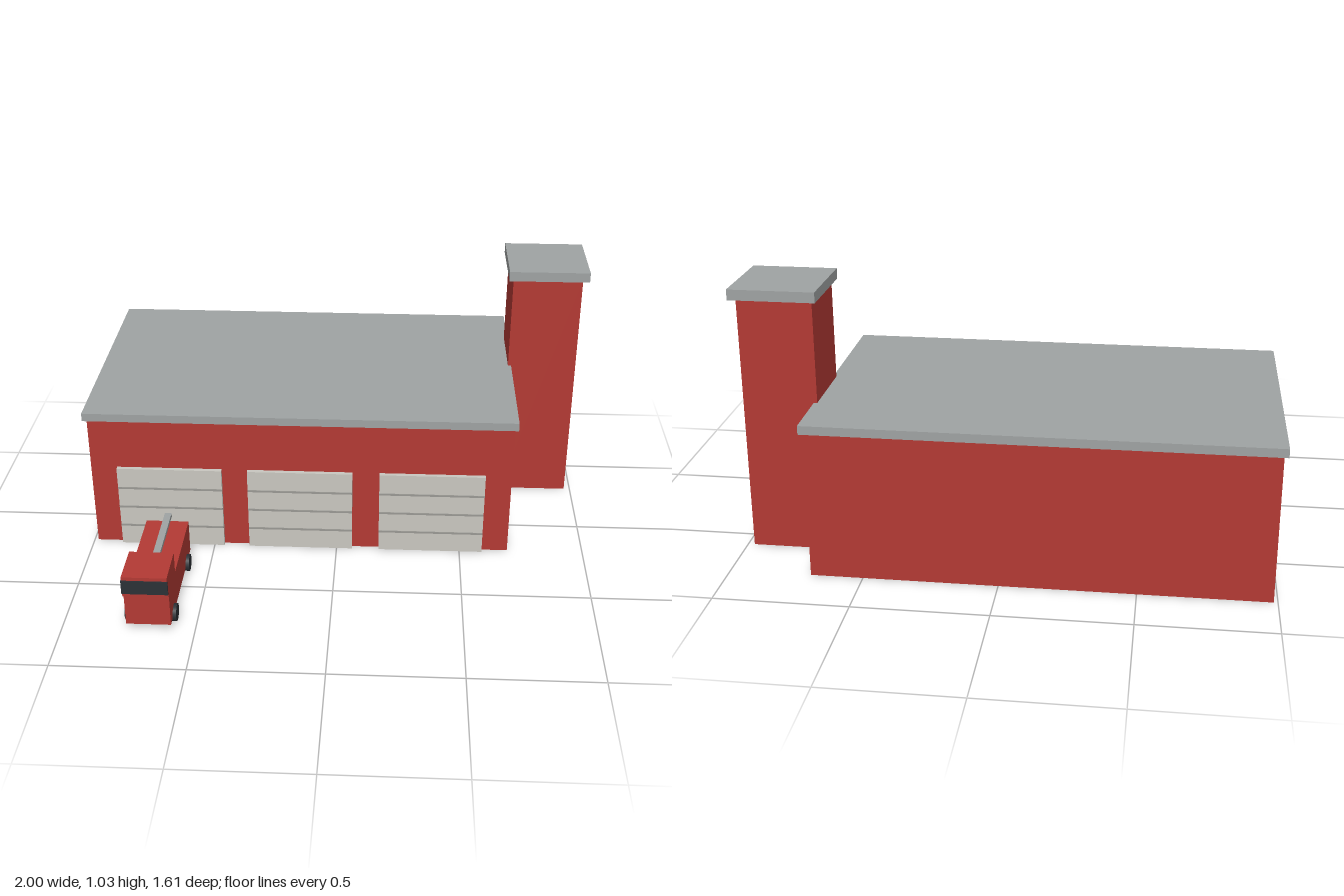
import * as THREE from 'three';

function mat(name, color) {
  const m = new THREE.MeshStandardMaterial({ color });
  m.name = name;
  return m;
}

export function createModel() {
  const red = mat('brick red', 0xb33a34);
  const grey = mat('roof grey', 0x9fa3a3);
  const cream = mat('door cream', 0xc9c7c0);
  const seamGrey = mat('seam grey', 0x9a9994);
  const dark = mat('dark rubber and glass', 0x2c3136);

  const model = new THREE.Group();
  model.name = 'fireStation';

  // Box given by its min and max on each axis
  function box(parent, name, material, [x0, x1], [y0, y1], [z0, z1]) {
    const mesh = new THREE.Mesh(new THREE.BoxGeometry(x1 - x0, y1 - y0, z1 - z0), material);
    mesh.position.set((x0 + x1) / 2, (y0 + y1) / 2, (z0 + z1) / 2);
    mesh.name = name;
    parent.add(mesh);
  }

  // Main hall and its flat roof
  box(model, 'hall', red, [-0.985, 0.695], [0, 0.565], [-0.792, 0.188]);
  box(model, 'hallRoof', grey, [-1, 0.708], [0.565, 0.598], [-0.806, 0.203]);

  // Tower with cap
  box(model, 'tower', red, [0.695, 0.975], [0, 0.987], [-0.582, -0.302]);
  box(model, 'towerCap', grey, [0.677, 1], [0.987, 1.027], [-0.603, -0.283]);

  // Three garage doors with horizontal seams
  for (const x of [-0.67, -0.147, 0.381]) {
    const door = new THREE.Group();
    door.name = 'garageDoor';
    box(door, 'doorPanel', cream, [x - 0.21, x + 0.21], [0, 0.352], [0.18, 0.205]);
    for (let i = 1; i < 4; i++) {
      const y = i * 0.088;
      box(door, 'doorSeam', seamGrey, [x - 0.21, x + 0.21], [y - 0.004, y + 0.004], [0.2, 0.208]);
    }
    model.add(door);
  }

  // Fire truck parked in front of the first door
  const truck = new THREE.Group();
  truck.name = 'fireTruck';
  model.add(truck);
  box(truck, 'truckBody', red, [-0.755, -0.587], [0.032, 0.168], [0.293, 0.785]);
  box(truck, 'truckCab', red, [-0.755, -0.587], [0.168, 0.254], [0.638, 0.803]);
  box(truck, 'windscreen', dark, [-0.757, -0.585], [0.183, 0.24], [0.8, 0.807]);
  box(truck, 'ladder', grey, [-0.684, -0.657], [0.176, 0.192], [0.272, 0.638]);

  // Wheels
  const wheelGeometry = new THREE.CylinderGeometry(0.034, 0.034, 0.026, 16).rotateZ(Math.PI / 2);
  for (const side of [-1, 1]) {
    for (const z of [0.385, 0.71]) {
      const wheel = new THREE.Mesh(wheelGeometry, dark);
      wheel.name = 'wheel';
      wheel.position.set(-0.671 + side * 0.084, 0.035, z);
      truck.add(wheel);
    }
  }

  return model;
}
